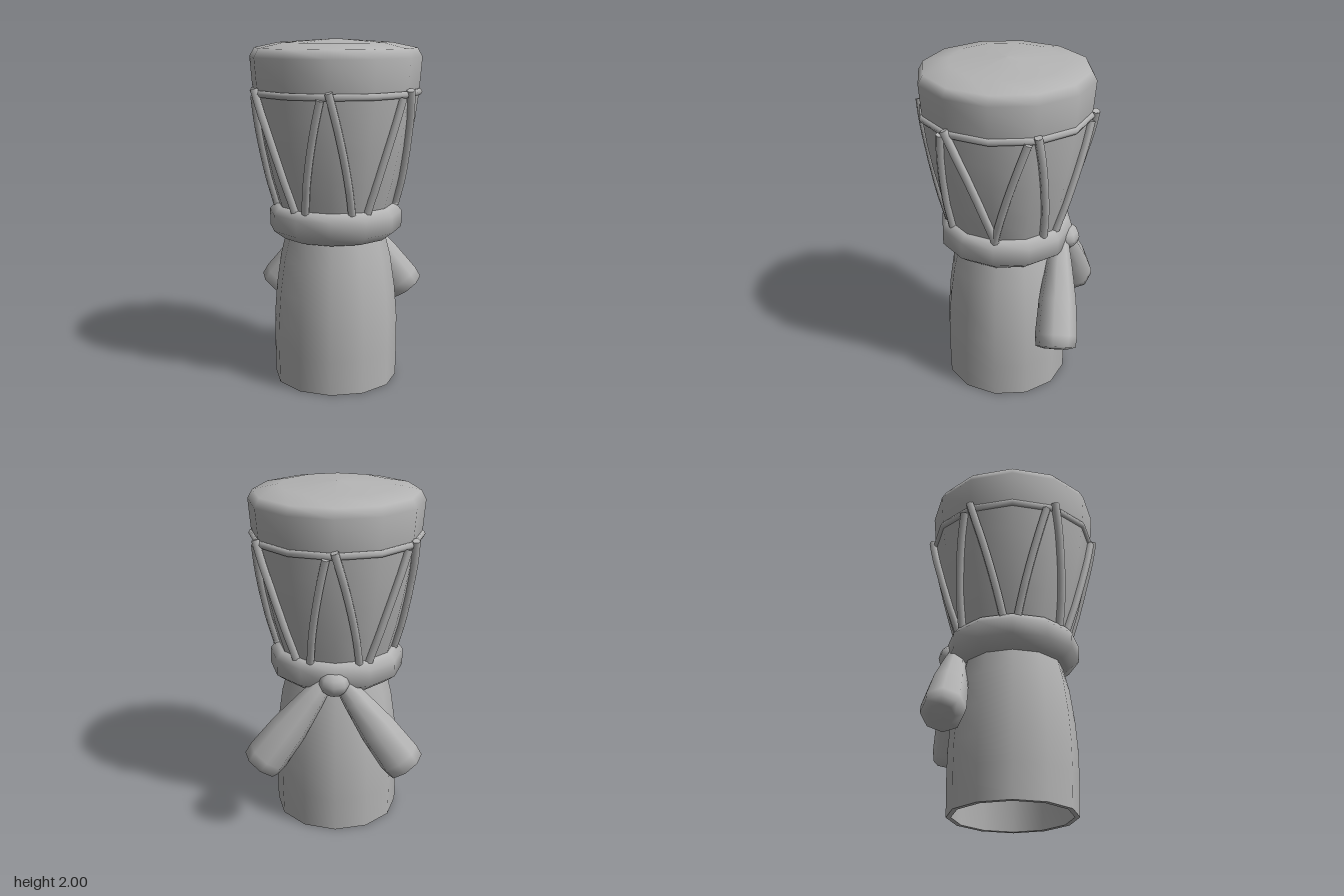
import * as THREE from 'three';

const SIDES = 12;
const DEG = Math.PI / 180;

// Bowl outline as [radius, height], shared by the shell and the ropes
const BOWL = [[0.32, 1.0], [0.343, 1.08], [0.385, 1.22], [0.427, 1.4], [0.458, 1.56], [0.476, 1.7]];

function bowlRadius(y) {
  for (let i = 1; i < BOWL.length; i++) {
    const [r0, y0] = BOWL[i - 1], [r1, y1] = BOWL[i];
    if (y <= y1) return r0 + (r1 - r0) * (y - y0) / (y1 - y0);
  }
  return BOWL[BOWL.length - 1][0];
}

// Distance factor from the axis to the flat sides of the polygonal shell
function facet(angle) {
  const step = 360 / SIDES;
  const a = ((angle % step) + step) % step - step / 2;
  return Math.cos(step / 2 * DEG) / Math.cos(a * DEG);
}

function lathe(points, sides = SIDES) {
  return new THREE.LatheGeometry(points.map(([r, y]) => new THREE.Vector2(r, y)), sides);
}

export function createModel() {
  const group = new THREE.Group();
  const grey = new THREE.MeshStandardMaterial({ color: 0xb4b4b4 });
  grey.name = 'plain grey';

  const add = (name, geometry, parent = group) => {
    const mesh = new THREE.Mesh(geometry, grey);
    mesh.name = name;
    parent.add(mesh);
    return mesh;
  };

  const drum = new THREE.Group();
  drum.name = 'drum';
  drum.position.x = -0.01;
  group.add(drum);

  // Hollow foot: outer wall, bottom rim and inner wall
  add('foot', lathe([[0.363, 0], [0.367, 0.2], [0.366, 0.37], [0.352, 0.55], [0.325, 0.74], [0.285, 0.9]]), drum);
  add('footRim', lathe([[0.335, 0], [0.363, 0]]), drum);
  add('footInside', lathe([[0, 0.85], [0.26, 0.85], [0.3, 0.72], [0.335, 0.4], [0.335, 0]]), drum);

  // Bowl and stretched skin
  add('bowl', lathe(BOWL), drum);
  add('skinBand', lathe([[0.47, 1.69], [0.48, 1.74], [0.493, 1.9], [0.465, 1.95], [0.32, 1.98], [0, 2]]), drum);

  // Ring that holds the skin
  const ring = new THREE.TorusGeometry(0.474, 0.021, 6, SIDES);
  ring.rotateX(Math.PI / 2);
  add('skinRing', ring, drum).position.y = 1.705;

  // Cloth wrapped around the waist
  add('waistCloth', lathe([[0.27, 0.86], [0.32, 0.87], [0.387, 0.92], [0.387, 1.015], [0.355, 1.055], [0.31, 1.06]]), drum);

  // Rope that follows the bowl from its top angle to its bottom angle
  function rope(name, topAngle, topY, bottomAngle, lift) {
    const points = [];
    const n = 8;
    for (let i = 0; i <= n; i++) {
      const t = i / n;
      const angle = topAngle + (bottomAngle - topAngle) * t;
      const y = topY + (1.05 - topY) * t;
      const r = bowlRadius(y) * facet(angle) + 0.012 + lift * Math.max(0, 1 - 3 * t);
      points.push(new THREE.Vector3(r * Math.sin(angle * DEG), y, r * Math.cos(angle * DEG)));
    }
    const path = new THREE.CatmullRomCurve3(points);
    add(name, new THREE.TubeGeometry(path, 10, 0.024, 6), drum);
    // Closed upper end
    const end = add(name + 'End', new THREE.CircleGeometry(0.024, 6), drum);
    end.position.copy(points[0]);
    end.lookAt(points[0].clone().sub(path.getTangent(0)));
  }

  // Six V-shaped pairs; each holds the bottom angles of its two ropes
  const pairs = [[20, 36], [31, 30], [19, 36], [23, 33], [21, 35], [22, 35]];
  pairs.forEach(([a, b], i) => {
    rope('longRope', i * 60, 1.73, i * 60 + a, 0.006);
    rope('shortRope', i * 60 + 54.5, 1.69, i * 60 + b, 0);
  });

  // Knot at the back
  const knot = add('knot', new THREE.SphereGeometry(0.085, 8, 6));
  knot.scale.set(1.05, 0.85, 0.88);
  knot.position.set(-0.005, 0.945, -0.36);

  // Two flaring cloth tails, mirrored
  for (const side of [1, -1]) {
    const start = new THREE.Vector3(side * 0.03, 0.965, -0.325);
    const end = new THREE.Vector3(side * 0.41, 0.445, -0.367);
    const length = start.distanceTo(end);
    const geometry = lathe([
      [0, -length - 0.015], [0.07, -length - 0.012], [0.115, -length],
      [0.122, -length * 0.9], [0.108, -length * 0.58], [0.075, -length * 0.25], [0.045, 0], [0, 0.02],
    ], 8);
    const tail = add(side > 0 ? 'leftTail' : 'rightTail', geometry);
    tail.position.copy(start);
    tail.quaternion.setFromUnitVectors(new THREE.Vector3(0, -1, 0), end.clone().sub(start).normalize());
  }

  return group;
}
